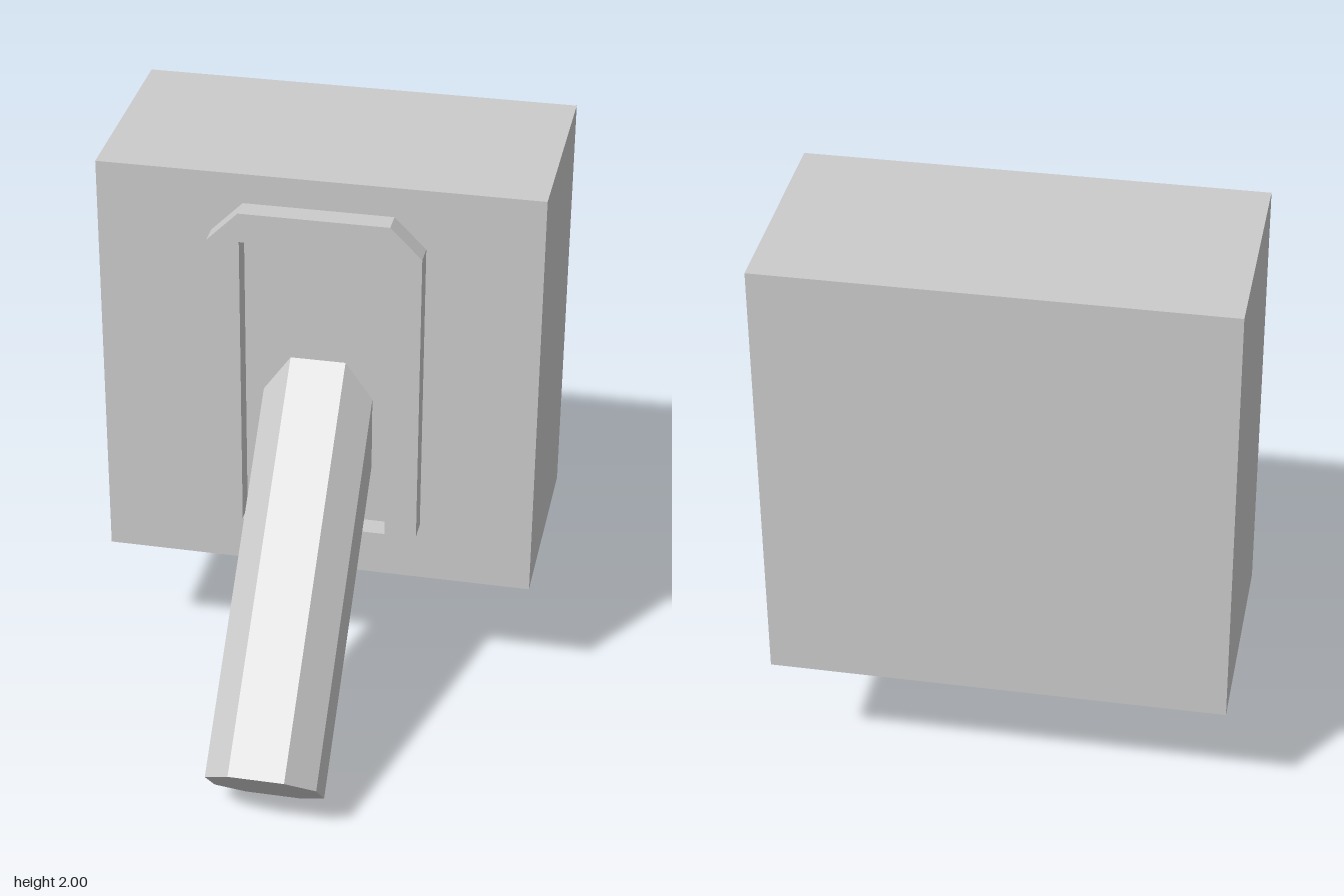
import * as THREE from 'three';

const material = new THREE.MeshStandardMaterial({ color: 0xcccccc, flatShading: true });

// Rectangle with its four corners cut off at 45 degrees
function chamferedRect(halfW, halfH, cut) {
  const a = halfW - cut, b = halfH - cut;
  const corners = [
    [halfW, -b], [halfW, b], [a, halfH], [-a, halfH],
    [-halfW, b], [-halfW, -b], [-a, -halfH], [a, -halfH],
  ];
  return new THREE.Shape(corners.map(([x, y]) => new THREE.Vector2(x, y)));
}

function addPart(group, name, geometry, x, y, z) {
  const mesh = new THREE.Mesh(geometry, material);
  mesh.name = name;
  mesh.position.set(x, y, z);
  group.add(mesh);
  return mesh;
}

export function createModel() {
  const group = new THREE.Group();
  group.name = 'wallLever';

  // Wall block
  addPart(group, 'wallBlock', new THREE.BoxGeometry(1.54, 1.54, 0.77), 0, 1.23, -0.52);

  // Raised frame with a rectangular opening
  const frame = chamferedRect(0.37, 0.66, 0.11);
  frame.holes.push(new THREE.Path([
    new THREE.Vector2(-0.257, -0.553), new THREE.Vector2(-0.257, 0.553),
    new THREE.Vector2(0.257, 0.553), new THREE.Vector2(0.257, -0.553),
  ]));
  const frameGeometry = new THREE.ExtrudeGeometry(frame, { depth: 0.08, bevelEnabled: false });
  addPart(group, 'frame', frameGeometry, 0, 1.232, -0.135);

  // Eight-sided lever, running from its free tip up and back into the block
  const leverGeometry = new THREE.ExtrudeGeometry(
    chamferedRect(0.193, 0.193, 0.096), { depth: 1.52, bevelEnabled: false });
  const lever = addPart(group, 'lever', leverGeometry, 0, 0.137, 0.768);
  lever.rotation.x = -0.75 * Math.PI;

  return group;
}
